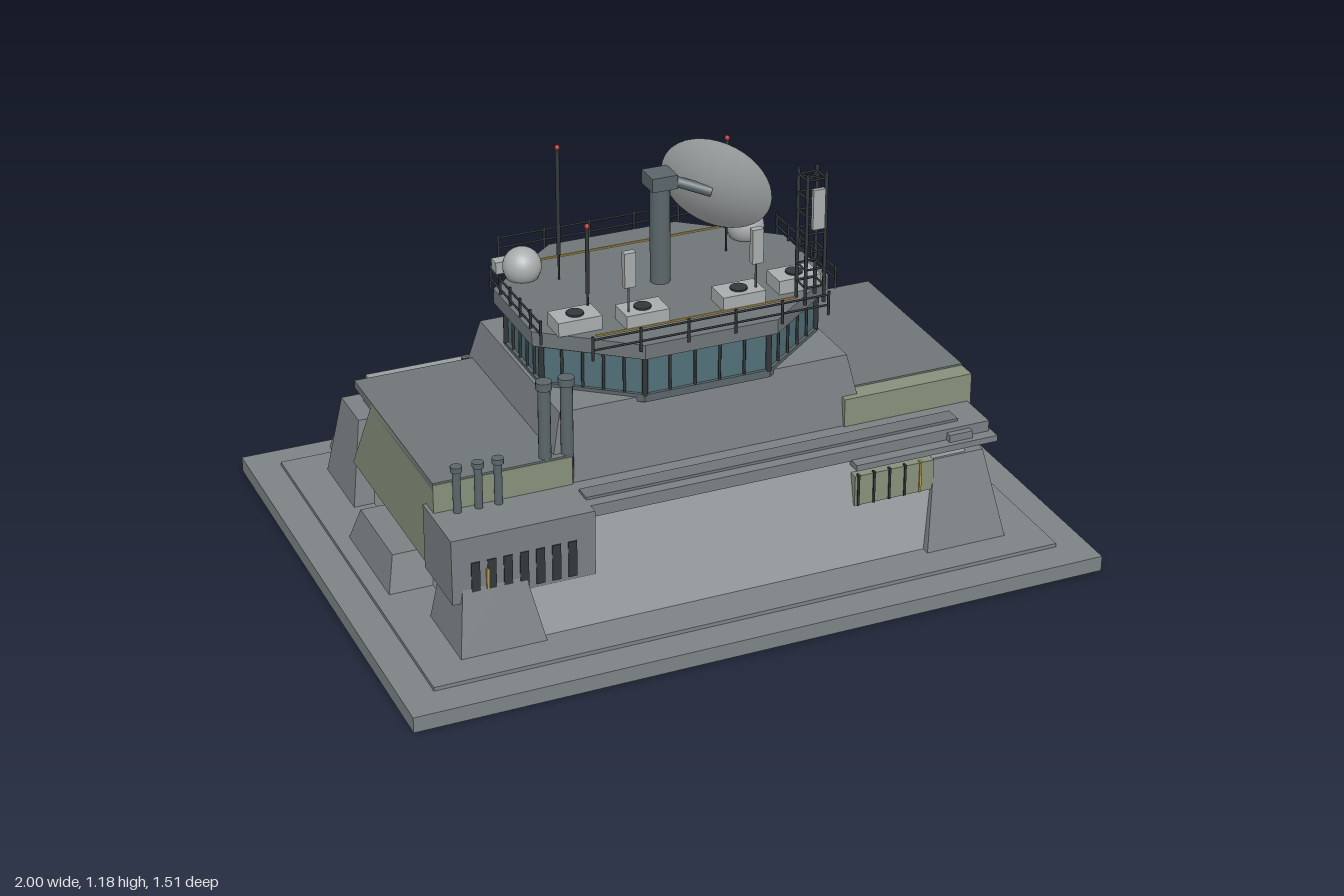
import * as THREE from 'three';

const mat = (color, side = THREE.FrontSide) => new THREE.MeshStandardMaterial({ color, side });
const M = {
  base: mat(0x7d8486), light: mat(0x9a9ea1), wall: mat(0x7b8084), roof: mat(0x6f7678),
  green: mat(0x87917b), glass: mat(0x527079), dark: mat(0x33383b), metal: mat(0x5b666a),
  pale: mat(0xa9adad), dish: mat(0xa9adad, THREE.DoubleSide), yellow: mat(0xb59a4c), red: mat(0xa03030),
};

export function createModel() {
  const root = new THREE.Group();
  const add = (name, geo, m, parent = root) => {
    const mesh = new THREE.Mesh(geo, m);
    mesh.name = name;
    parent.add(mesh);
    return mesh;
  };
  // Box between two corners
  const box = (name, m, x0, x1, y0, y1, z0, z1) =>
    add(name, new THREE.BoxGeometry(x1 - x0, y1 - y0, z1 - z0)
      .translate((x0 + x1) / 2, (y0 + y1) / 2, (z0 + z1) / 2), m);
  // Tapered block: b and t are [x0, x1, z0, z1] at the bottom and top
  const taper = (name, m, y0, y1, b, t) => {
    const geo = new THREE.BoxGeometry(1, 1, 1), p = geo.attributes.position;
    for (let i = 0; i < p.count; i++) {
      const up = p.getY(i) > 0, r = up ? t : b;
      p.setXYZ(i, r[p.getX(i) > 0 ? 1 : 0], up ? y1 : y0, r[p.getZ(i) > 0 ? 3 : 2]);
    }
    geo.computeVertexNormals();
    return add(name, geo, m);
  };
  const cyl = (name, m, x, z, y0, y1, r, r2 = r, n = 16) =>
    add(name, new THREE.CylinderGeometry(r2, r, y1 - y0, n).translate(x, (y0 + y1) / 2, z), m);
  // Rod between two points
  const rod = (name, m, a, b, r, n = 6) => {
    const A = new THREE.Vector3(...a), B = new THREE.Vector3(...b), d = B.clone().sub(A);
    const mesh = add(name, new THREE.CylinderGeometry(r, r, d.length(), n), m);
    mesh.position.copy(A).add(B).multiplyScalar(0.5);
    mesh.quaternion.setFromUnitVectors(new THREE.Vector3(0, 1, 0), d.normalize());
    return mesh;
  };
  // Plan outline [x, z] raised from y0 to y1
  const prism = (name, m, pts, y0, y1) => {
    const s = new THREE.Shape(pts.map(([x, z]) => new THREE.Vector2(x, -z)));
    return add(name, new THREE.ExtrudeGeometry(s, { depth: y1 - y0, bevelEnabled: false })
      .rotateX(-Math.PI / 2).translate(0, y0, 0), m);
  };
  const octagon = (e) => {
    const X = 0.405 + e, x = 0.18 + e * 0.4, f = 0.33 + e, b = -0.29 - e, zf = 0.155 + e * 0.4, zb = -0.105 - e * 0.4;
    return [[-x, f], [x, f], [X, zf], [X, zb], [x, b], [-x, b], [-X, zb], [-X, zf]];
  };

  // Ground slabs
  box('groundSlab', M.base, -1, 1, 0, 0.045, -0.725, 0.755);
  box('plinth', M.base, -0.91, 0.91, 0.045, 0.056, -0.635, 0.66);

  // Sloped main bunker with roof copings
  taper('bunkerBody', M.light, 0.056, 0.375, [-0.74, 0.74, -0.51, 0.54], [-0.7, 0.7, -0.44, 0.465]);
  box('frontCoping', M.wall, -0.4, 0.78, 0.345, 0.38, 0.35, 0.482);
  box('frontRidge', M.roof, -0.4, 0.7, 0.38, 0.388, 0.4, 0.45);
  box('rearCoping', M.light, -0.7, 0.7, 0.35, 0.382, -0.455, -0.4);
  box('rearLouvre', M.dark, -0.42, 0.42, 0.382, 0.39, -0.435, -0.42);
  box('rearLouvreTrim', M.green, -0.42, 0.42, 0.39, 0.395, -0.432, -0.423);
  box('rearRib', M.wall, -0.6, 0.6, 0.29, 0.31, -0.485, -0.455);

  // Corner piers and side buttresses
  for (const s of [-1, 1]) {
    const sx = (a, b) => (s > 0 ? [a, b] : [-b, -a]);
    taper('frontPier', M.wall, 0.056, 0.3, [...sx(0.56, 0.8), 0.33, 0.565], [...sx(0.61, 0.76), 0.36, 0.49]);
    taper('rearPier', M.wall, 0.056, 0.3, [...sx(0.56, 0.8), -0.54, -0.3], [...sx(0.61, 0.76), -0.5, -0.35]);
    taper('sideButtress', M.wall, 0.056, 0.155, [...sx(0.7, 0.865), -0.15, 0.185], [...sx(0.7, 0.84), -0.115, 0.15]);
    cyl('pierLamp', M.dark, s * 0.69, -0.47, 0.3, 0.33, 0.008);
    // Slanted wing
    const prof = new THREE.Shape([[0.357, 0.19], [0.357, 0.463], [-0.13, 0.463], [-0.32, 0.19]]
      .map(([z, y]) => new THREE.Vector2(-z, y)));
    const wing = add('wing', new THREE.ExtrudeGeometry(prof, { depth: 0.39, bevelEnabled: false })
      .rotateY(Math.PI / 2), M.green);
    wing.position.x = s > 0 ? 0.4 : -0.79;
    box('wingRoof', M.roof, ...sx(0.4, 0.79), 0.446, 0.468, -0.275, s > 0 ? 0.3 : 0.355);
  }

  // Ventilation block on the front with slots and pipes
  box('ventBlock', M.wall, -0.8, -0.4, 0.19, 0.38, 0.3, 0.512);
  for (let i = 0; i < 7; i++) {
    const x = -0.735 + i * 0.045;
    box('ventSlot', M.dark, x - 0.012, x + 0.012, 0.2, 0.305, 0.5, 0.515);
  }
  box('ventTrim', M.yellow, -0.706, -0.698, 0.22, 0.28, 0.5, 0.518);
  for (const x of [-0.73, -0.67, -0.615]) {
    cyl('exhaustPipe', M.metal, x, 0.372, 0.37, 0.505, 0.011);
    cyl('exhaustCap', M.metal, x, 0.372, 0.5, 0.515, 0.016);
  }
  for (const x of [-0.47, -0.407]) {
    cyl('chimney', M.metal, x, 0.338, 0.37, 0.68, 0.017);
    cyl('chimneyCap', M.metal, x, 0.338, 0.67, 0.692, 0.022);
  }

  // Side entrance on the front
  box('frontCanopy', M.wall, 0.36, 0.79, 0.33, 0.348, 0.4, 0.515);
  box('canopyBox', M.wall, 0.65, 0.72, 0.348, 0.37, 0.44, 0.5);
  box('frontEntrance', M.green, 0.36, 0.6, 0.22, 0.31, 0.42, 0.508);
  for (let i = 0; i < 5; i++) {
    const x = 0.37 + i * 0.047;
    box('entranceDivider', i === 4 ? M.yellow : M.dark, x - 0.003, x + 0.003, 0.22, 0.315, 0.5, 0.512);
  }

  // Rear entrance: glazed doors, canopy, steps, posts and barriers
  box('rearDoorFrame', M.dark, -0.2, 0.2, 0.056, 0.3, -0.515, -0.44);
  for (let i = 0; i < 5; i++) {
    const x = -0.152 + i * 0.076;
    box('rearDoorGlass', M.glass, x - 0.032, x + 0.032, 0.07, 0.285, -0.52, -0.5);
    if (i % 2) box('doorHandle', M.yellow, x - 0.036, x - 0.031, 0.1, 0.26, -0.524, -0.51);
  }
  box('rearCanopy', M.green, -0.245, 0.24, 0.312, 0.332, -0.61, -0.46);
  for (let i = 0; i < 3; i++) {
    box('entranceStep', M.light, -0.205 + i * 0.01, 0.205 - i * 0.01, 0.062 + i * 0.015, 0.077 + i * 0.015,
      -0.695 - i * 0.03, -0.63 - i * 0.035);
  }
  for (const s of [-1, 1]) {
    for (const x of [0.225, 0.27]) cyl('bollard', M.dark, s * x, -0.61, 0.056, 0.12, 0.008);
    for (const x of [0.475, 0.665]) {
      taper('barrier', M.wall, 0.056, 0.115, [s * x - 0.088, s * x + 0.088, -0.665, -0.6],
        [s * x - 0.075, s * x + 0.075, -0.645, -0.615]);
    }
  }
  rod('cameraPole', M.metal, [0.5, 0.37, -0.42], [0.5, 0.41, -0.42], 0.005);
  box('camera', M.metal, 0.49, 0.51, 0.4, 0.418, -0.43, -0.41);

  // Tower base and glazed control room
  taper('towerBase', M.wall, 0.375, 0.58, [-0.465, 0.465, -0.32, 0.35], [-0.42, 0.42, -0.27, 0.32]);
  prism('controlRoomSill', M.metal, octagon(0.005), 0.568, 0.59);
  prism('controlRoomGlass', M.glass, octagon(-0.004), 0.59, 0.7);
  const ring = octagon(0);
  ring.forEach(([x0, z0], i) => {
    const [x1, z1] = ring[(i + 1) % 8], n = 5;
    for (let k = 0; k < n; k++) {
      const x = x0 + (x1 - x0) * k / n, z = z0 + (z1 - z0) * k / n;
      rod('windowMullion', M.dark, [x, 0.585, z], [x, 0.7, z], k ? 0.004 : 0.008);
    }
  });
  prism('lightStrip', M.yellow, octagon(0.012), 0.698, 0.708);
  prism('roofSlab', M.roof, octagon(0.03), 0.708, 0.75);

  // Roof railings
  const rail = (a, b) => {
    const n = 5;
    for (const y of [0.765, 0.795]) rod('handrail', M.dark, [a[0], y, a[1]], [b[0], y, b[1]], 0.003);
    for (let i = 0; i <= n; i++) {
      const x = a[0] + (b[0] - a[0]) * i / n, z = a[1] + (b[1] - a[1]) * i / n;
      rod('railPost', M.dark, [x, 0.735, z], [x, 0.805, z], 0.004);
    }
  };
  for (const z of [-0.325, 0.36]) rail([-0.34, z], [0.34, z]);
  for (const x of [-0.43, 0.43]) rail([x, -0.15], [x, 0.22]);
  for (const z of [-0.235, 0.26]) box('roofLight', M.yellow, -0.29, 0.29, 0.75, 0.754, z - 0.003, z + 0.003);

  // Radomes and cooling units
  for (const s of [-1, 1]) {
    cyl('radomeBase', M.metal, s * 0.335, -0.158, 0.745, 0.775, 0.045);
    add('radome', new THREE.SphereGeometry(0.054, 24, 16).translate(s * 0.335, 0.782, -0.158), M.pale);
    for (const [x, z] of [[0.32, 0.187], [0.14, 0.22]]) {
      box('coolingUnit', M.pale, s * x - 0.062, s * x + 0.062, 0.75, 0.79, z - 0.04, z + 0.04);
      cyl('coolingFan', M.dark, s * x, z, 0.79, 0.795, 0.024);
    }
    box('roofHatch', M.pale, s * 0.37 - 0.02, s * 0.37 + 0.02, 0.74, 0.775, -0.25, -0.215);
    box('antennaPanel', M.pale, s * 0.185 - 0.016, s * 0.185 + 0.016, 0.865, 0.965, 0.225, 0.245);
    rod('panelPole', M.metal, [s * 0.185, 0.75, 0.232], [s * 0.185, 0.87, 0.232], 0.003);
  }

  // Dish on its mast
  cyl('dishMast', M.metal, 0, 0.015, 0.75, 1.03, 0.028);
  box('mastHead', M.metal, -0.037, 0.037, 1.03, 1.07, -0.025, 0.05);
  const profile = [];
  for (let i = 0; i <= 8; i++) profile.push(new THREE.Vector2(0.158 * i / 8, 0.035 * ((i / 8) ** 2 - 1)));
  const dish = add('dish', new THREE.LatheGeometry(profile, 40), M.dish);
  dish.position.set(0.145, 1.03, 0.06);
  dish.quaternion.setFromUnitVectors(new THREE.Vector3(0, 1, 0), new THREE.Vector3(0.67, 0.32, -0.67).normalize());
  rod('dishMount', M.metal, [0.02, 1.05, 0.02], [0.122, 1.02, 0.083], 0.015, 10);
  rod('feedArm', M.dark, [0.1, 1.045, 0.045], [0.1, 1.02, -0.1], 0.005);
  box('feedHorn', M.pale, 0.088, 0.112, 1.008, 1.032, -0.115, -0.09);

  // Lattice mast
  const lx = [0.295, 0.35], lz = [0.255, 0.31];
  for (const x of lx) for (const z of lz) rod('latticeLeg', M.dark, [x, 0.75, z], [x, 1.13, z], 0.005);
  for (let i = 0; i < 7; i++) {
    const y = 0.8 + i * 0.052;
    for (const z of lz) rod('latticeRung', M.dark, [lx[0], y, z], [lx[1], y, z], 0.003);
    for (const x of lx) rod('latticeRung', M.dark, [x, y, lz[0]], [x, y, lz[1]], 0.003);
  }
  rod('latticeBrace', M.dark, [lx[0], 1.11, lz[0]], [lx[1], 1.11, lz[1]], 0.003);
  rod('latticeBrace', M.dark, [lx[0], 1.11, lz[1]], [lx[1], 1.11, lz[0]], 0.003);
  box('latticePanel', M.pale, 0.305, 0.34, 0.975, 1.09, 0.315, 0.327);

  // Whip antennas with red tips
  for (const [x, z, top] of [[-0.25, -0.1, 1.14], [0.243, -0.085, 1.09], [-0.27, 0.155, 1.02]]) {
    rod('antennaFoot', M.dark, [x, 0.75, z], [x, 0.83, z], 0.003);
    rod('antenna', M.dark, [x, 0.825, z], [x, top, z], 0.006, 8);
    add('antennaTip', new THREE.SphereGeometry(0.008, 10, 8).translate(x, top, z), M.red);
  }
  return root;
}
